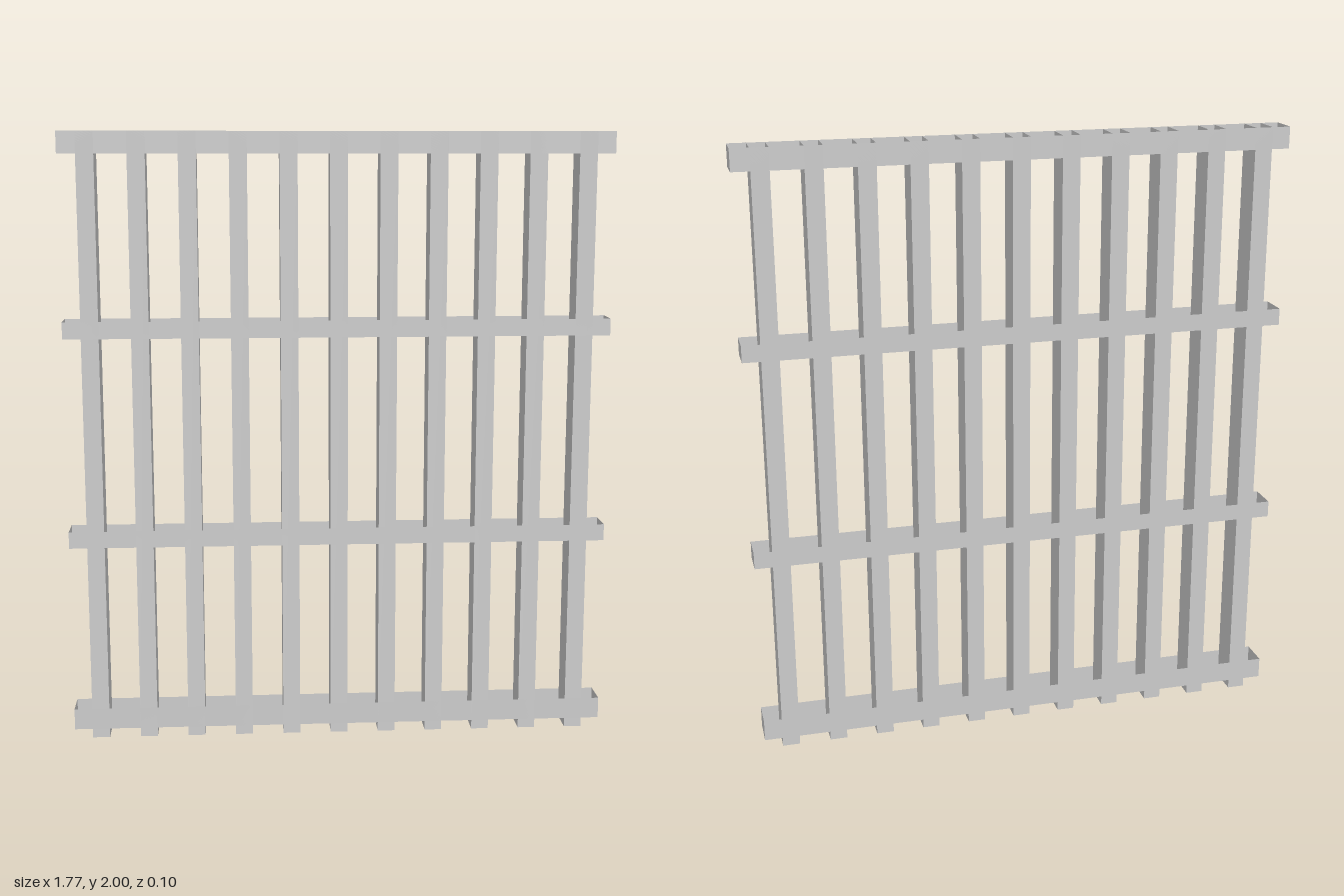
import * as THREE from 'three';

const material = new THREE.MeshStandardMaterial({
  color: 0xcccccc, flatShading: true, side: THREE.DoubleSide,
});
const DEPTH = 0.1, HEIGHT = 2;

// Four upright walls, open at the top and bottom
function openBox(name, width, y0, y1) {
  const geometry = new THREE.CylinderGeometry(Math.SQRT1_2, Math.SQRT1_2, 1, 4, 1, true);
  geometry.rotateY(Math.PI / 4).scale(width, y1 - y0, DEPTH);
  const mesh = new THREE.Mesh(geometry, material);
  mesh.name = name;
  mesh.position.y = (y0 + y1) / 2;
  return mesh;
}

// Hollow bar with two crossed sheets running corner to corner inside
function createBar(x) {
  const width = 0.057;
  const bar = new THREE.Group();
  bar.name = 'verticalBar';
  bar.add(openBox('barWalls', width, 0, HEIGHT));
  for (const side of [-1, 1]) {
    const geometry = new THREE.PlaneGeometry(DEPTH, Math.hypot(width, HEIGHT));
    geometry.rotateY(Math.PI / 2).rotateZ(side * Math.atan(width / HEIGHT));
    const sheet = new THREE.Mesh(geometry, material);
    sheet.name = 'innerSheet';
    sheet.position.y = HEIGHT / 2;
    bar.add(sheet);
  }
  bar.position.x = x;
  return bar;
}

export function createModel() {
  const grate = new THREE.Group();
  grate.name = 'barredGate';

  // Eleven evenly spaced vertical bars
  for (let i = -5; i <= 5; i++) grate.add(createBar(i * 0.16));

  // Horizontal rails, wider at the top and bottom
  const rails = [
    ['bottomRail', 0.03, 0.1],
    ['lowerMiddleRail', 0.655, 0.71],
    ['upperMiddleRail', 1.345, 1.4],
    ['topRail', 1.93, 2],
  ];
  for (const [name, y0, y1] of rails) grate.add(openBox(name, 1.775, y0, y1));

  return grate;
}
